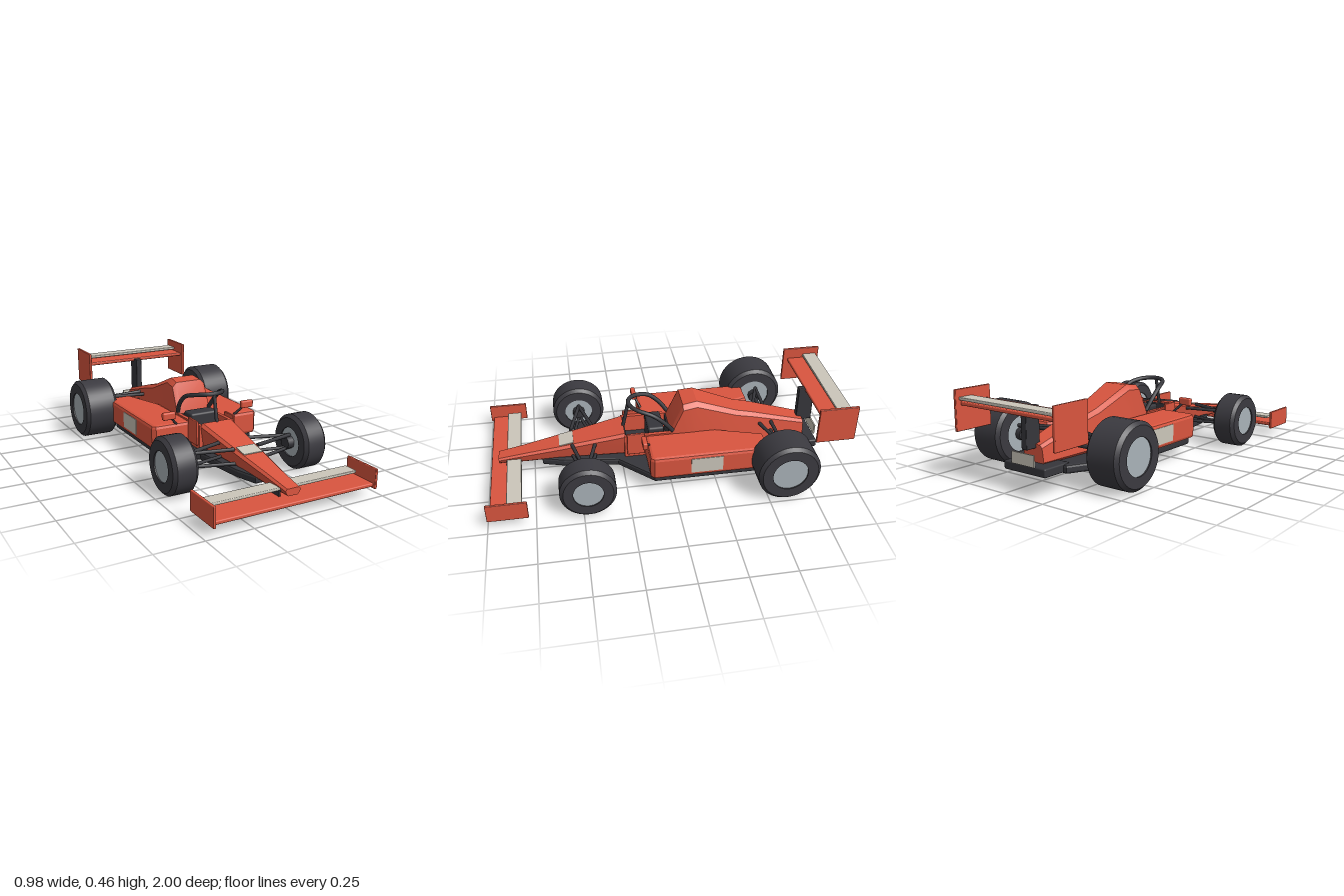
import * as THREE from 'three';
import { toCreasedNormals } from 'three/addons/utils/BufferGeometryUtils.js';
import { RoundedBoxGeometry } from 'three/addons/geometries/RoundedBoxGeometry.js';

const mat = (name, color) => {
  const m = new THREE.MeshStandardMaterial({ color });
  m.name = name;
  return m;
};

export function createModel() {
  const car = new THREE.Group();
  car.name = 'racingCar';
  const red = mat('red paint', 0xd9553f);
  const rubber = mat('tyre rubber', 0x3b3a40);
  const carbon = mat('dark carbon', 0x36363b);
  const silver = mat('rim silver', 0xa9b2b8);
  const cream = mat('cream panel', 0xcbc6ba);

  const add = (name, geo, material, x = 0, y = 0, z = 0, parent = car) => {
    const m = new THREE.Mesh(geo, material);
    m.name = name;
    m.position.set(x, y, z);
    parent.add(m);
    return m;
  };

  // Box given by its min and max on each axis, optionally rounded
  const box = (name, material, [x0, x1], [y0, y1], [z0, z1], r = 0) => {
    const s = [x1 - x0, y1 - y0, z1 - z0];
    const g = r ? new RoundedBoxGeometry(...s, 2, r) : new THREE.BoxGeometry(...s);
    return add(name, g, material, (x0 + x1) / 2, (y0 + y1) / 2, (z0 + z1) / 2);
  };

  // Straight round bar between two points
  const bar = (name, a, b, r, material = carbon) => {
    const p = new THREE.Vector3(...a), q = new THREE.Vector3(...b);
    const d = q.clone().sub(p);
    const m = add(name, new THREE.CylinderGeometry(r, r, d.length(), 10), material);
    m.position.copy(p).add(q).multiplyScalar(0.5);
    m.quaternion.setFromUnitVectors(new THREE.Vector3(0, 1, 0), d.normalize());
    return m;
  };

  // Plan outline [x, z] extruded between two heights with bevelled edges
  const planExtrude = (pts, y0, y1, b) => {
    const shape = new THREE.Shape(pts.map(p => new THREE.Vector2(...p)));
    const g = new THREE.ExtrudeGeometry(shape, {
      depth: y1 - y0 - 2 * b, bevelEnabled: true, bevelSize: b, bevelOffset: -b, bevelThickness: b, bevelSegments: 2,
    });
    return g.rotateX(Math.PI / 2).translate(0, y1 - b, 0);
  };

  // Loft of chamfered sections, front to back: [z, bottom half-width, top half-width, y0, y1, chamfer]
  const loft = (sections) => {
    const pos = [], idx = [], n = 8;
    for (const [z, wb, wt, y0, y1, c] of sections) {
      const half = [[wb - c, y0], [wb, y0 + c], [wt, y1 - c], [wt - c, y1]];
      for (const [x, y] of half) pos.push(x, y, z);
      for (const [x, y] of half.reverse()) pos.push(-x, y, z);
    }
    const last = (sections.length - 1) * n;
    for (let i = 0; i < last; i += n)
      for (let j = 0; j < n; j++) {
        const k = (j + 1) % n;
        idx.push(i + j, i + n + j, i + k, i + k, i + n + j, i + n + k);
      }
    for (let j = 1; j < n - 1; j++) idx.push(0, j, j + 1, last, last + j + 1, last + j);
    const g = new THREE.BufferGeometry();
    g.setAttribute('position', new THREE.Float32BufferAttribute(pos, 3));
    g.setIndex(idx);
    return toCreasedNormals(g, 0.5);
  };

  // Floor and rear crash box
  const half = [[0.05, 0.7], [0.085, 0.58], [0.125, 0.28], [0.3, 0.1], [0.3, -0.46], [0.26, -0.54], [0.16, -0.745]];
  const outline = [...half, ...half.map(([x, z]) => [-x, z]).reverse()];
  add('floor', planExtrude(outline, 0.06, 0.105, 0.012), carbon);
  box('crashBox', carbon, [-0.14, 0.14], [0.065, 0.11], [-0.87, -0.7], 0.008);
  box('rearPlate', cream, [-0.075, 0.075], [0.108, 0.168], [-0.878, -0.87]);

  // Nose
  add('nose', loft([
    [0.94, 0.036, 0.044, 0.085, 0.122, 0.01],
    [0.79, 0.045, 0.054, 0.085, 0.147, 0.012],
    [0.6, 0.058, 0.072, 0.095, 0.181, 0.014],
    [0.235, 0.085, 0.102, 0.1, 0.25, 0.016],
  ]), red);
  const nosePlate = box('nosePanel', cream, [-0.055, 0.055], [0.187, 0.193], [0.52, 0.6]);
  nosePlate.rotation.x = 0.186;

  // Engine cover
  add('engineCover', loft([
    [-0.02, 0.11, 0.105, 0.1, 0.24, 0.02],
    [-0.09, 0.115, 0.102, 0.1, 0.4, 0.025],
    [-0.17, 0.115, 0.095, 0.1, 0.41, 0.025],
    [-0.4, 0.105, 0.08, 0.1, 0.317, 0.022],
    [-0.5, 0.098, 0.076, 0.1, 0.292, 0.02],
    [-0.805, 0.07, 0.06, 0.1, 0.2, 0.015],
  ]), red);

  // Cockpit
  box('cockpitFloor', carbon, [-0.09, 0.09], [0.1, 0.14], [-0.02, 0.24]);
  box('cockpitFrontLining', carbon, [-0.088, 0.088], [0.12, 0.24], [0.228, 0.234]);
  box('cockpitRearLining', carbon, [-0.09, 0.09], [0.12, 0.235], [-0.021, -0.012]);
  box('seat', carbon, [-0.085, 0.085], [0.13, 0.265], [0.015, 0.105], 0.012);

  // Cockpit hoop and its centre strut
  const hoop = [[-0.1, 0.25, -0.03], [-0.11, 0.31, 0.015], [-0.108, 0.365, 0.08], [-0.08, 0.387, 0.155], [-0.04, 0.393, 0.193]];
  const hoopPath = new THREE.CatmullRomCurve3(
    [...hoop, [0, 0.394, 0.203], ...hoop.map(([x, y, z]) => [-x, y, z]).reverse()].map(p => new THREE.Vector3(...p)));
  add('cockpitHoop', new THREE.TubeGeometry(hoopPath, 48, 0.012, 10), carbon);
  bar('hoopStrut', [0, 0.235, 0.238], [0, 0.392, 0.204], 0.01);

  // Wheel: hollow tyre with a slightly recessed rim
  const wheel = (name, x, z, r, w, rim) => {
    const g = new THREE.Group();
    g.name = name;
    const c = 0.018, h = w / 2;
    const profile = [[rim, -h], [r - c, -h], [r, c - h], [r, h - c], [r - c, h], [rim, h], [rim, -h]];
    const tyre = new THREE.LatheGeometry(profile.map(p => new THREE.Vector2(...p)), 36).rotateZ(Math.PI / 2);
    add('tyre', toCreasedNormals(tyre, 0.5), rubber, 0, 0, 0, g);
    add('rim', new THREE.CylinderGeometry(rim, rim, w - 0.014, 36).rotateZ(Math.PI / 2), silver, 0, 0, 0, g);
    g.position.set(x, r, z);
    car.add(g);
  };

  for (const s of [-1, 1]) {
    const span = (a, b) => (s > 0 ? [a, b] : [-b, -a]);

    // Cockpit side and sidepod
    box('cockpitSide', red, span(0.088, 0.108), [0.1, 0.24], [-0.03, 0.24]);
    const pod = [[0.1, 0.125], [0.31, 0.125], [0.328, 0.105], [0.328, -0.5], [0.305, -0.525], [0.18, -0.525], [0.1, -0.27]];
    add('sidepod', planExtrude(pod.map(([x, z]) => [s * x, z]), 0.1, 0.235, 0.018), red);
    box('sidePanel', cream, span(0.325, 0.331), [0.125, 0.215], [-0.27, -0.095]);
    box('deflector', red, span(0.108, 0.122), [0.127, 0.262], [0.13, 0.228], 0.004);

    // Mirror
    bar('mirrorStalk', [s * 0.178, 0.222, 0.11], [s * 0.232, 0.28, 0.142], 0.007);
    box('mirror', red, span(0.207, 0.283), [0.27, 0.311], [0.133, 0.16], 0.008);

    // Wheels and hubs
    wheel('frontWheel', s * 0.384, 0.47, 0.15, 0.138, 0.08);
    wheel('rearWheel', s * 0.392, -0.6, 0.17, 0.196, 0.096);
    bar('frontHub', [s * 0.285, 0.15, 0.47], [s * 0.33, 0.15, 0.47], 0.035);
    bar('rearHub', [s * 0.27, 0.17, -0.605], [s * 0.32, 0.17, -0.605], 0.035);

    // Suspension arms
    for (const z of [0.4, 0.53]) {
      bar('frontUpperArm', [s * 0.07, 0.193, z], [s * 0.315, 0.19, 0.468], 0.01);
      bar('frontLowerArm', [s * 0.06, 0.115, z], [s * 0.315, 0.12, 0.468], 0.009);
    }
    bar('driveshaft', [s * 0.06, 0.17, -0.605], [s * 0.3, 0.17, -0.605], 0.011);
    for (const z of [-0.53, -0.605]) bar('rearUpperArm', [s * 0.06, 0.225, z], [s * 0.3, 0.215, -0.615], 0.01);

    // Wing end plates and front wing pylons
    box('frontEndPlate', red, span(0.447, 0.461), [0.045, 0.15], [0.785, 1], 0.004);
    box('rearEndPlate', red, span(0.321, 0.337), [0.247, 0.457], [-1, -0.782], 0.004);
    box('frontWingPylon', carbon, span(0.042, 0.052), [0.065, 0.105], [0.83, 0.9]);
  }

  // Front wing
  box('frontWingPlane', red, [-0.45, 0.45], [0.053, 0.073], [0.825, 0.985], 0.006);
  box('frontWingFlap', cream, [-0.415, 0.415], [0.1, 0.115], [0.815, 0.895], 0.004);

  // Rear wing
  box('rearWingPlane', red, [-0.325, 0.325], [0.375, 0.395], [-0.97, -0.81], 0.006);
  box('rearWingFlap', cream, [-0.322, 0.322], [0.402, 0.418], [-0.98, -0.9], 0.004);
  box('rearWingPylon', carbon, [-0.018, 0.018], [0.18, 0.39], [-0.865, -0.775], 0.004);

  return car;
}
